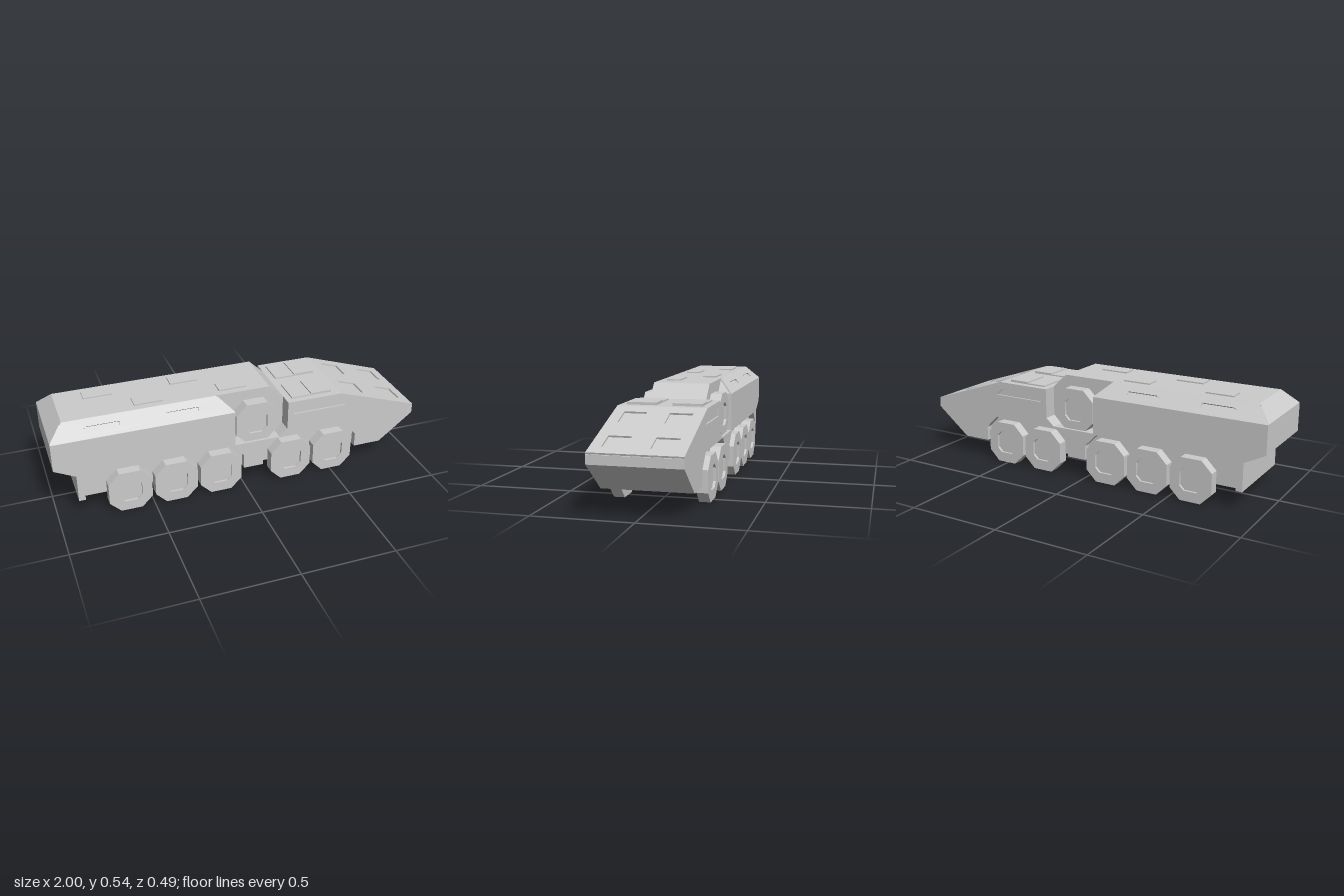
import * as THREE from 'three';
import { ConvexGeometry } from 'three/addons/geometries/ConvexGeometry.js';

const mat = new THREE.MeshStandardMaterial({ color: 0xcccccc, flatShading: true });

// Extrude an outline (with optional holes) from depth z0 to z1.
function slab(outline, z0, z1, holes = []) {
  const toV = (pts) => pts.map(([x, y]) => new THREE.Vector2(x, y));
  const shape = new THREE.Shape(toV(outline));
  holes.forEach((h) => shape.holes.push(new THREE.Path(toV(h))));
  return new THREE.ExtrudeGeometry(shape, { depth: z1 - z0, bevelEnabled: false }).translate(0, 0, z0);
}

// Mirrored copy across z = 0, with the winding reversed.
function mirrorZ(geo) {
  const g = geo.index ? geo.toNonIndexed() : geo.clone();
  g.scale(1, 1, -1);
  const p = g.attributes.position;
  for (let i = 0; i < p.count; i += 3) {
    const a = new THREE.Vector3().fromBufferAttribute(p, i);
    const c = new THREE.Vector3().fromBufferAttribute(p, i + 2);
    p.setXYZ(i, c.x, c.y, c.z);
    p.setXYZ(i + 2, a.x, a.y, a.z);
  }
  g.computeVertexNormals();
  return g;
}

// Square of half size r with its corners cut by c.
function octagon(r, c, cx, cy) {
  const k = r - c;
  return [[k, -r], [r, -k], [r, k], [k, r], [-k, r], [-r, k], [-r, -k], [-k, -r]].map(([x, y]) => [x + cx, y + cy]);
}

const rect = (x0, x1, y0, y1) => [[x0, y0], [x1, y0], [x1, y1], [x0, y1]];

export function createModel() {
  const model = new THREE.Group();
  const add = (name, geo, parent = model) => {
    const m = new THREE.Mesh(geo, mat);
    m.name = name;
    parent.add(m);
  };
  const addPair = (name, geo, parent = model) => {
    add(name + 'Left', geo, parent);
    add(name + 'Right', mirrorZ(geo), parent);
  };

  // Hull: centre core, then side layers cut by the spare wheel pocket and wheel arches
  const nose = [[0.81, 0.1], [1, 0.25], [1, 0.2955], [0.55, 0.4455], [0.55, 0.455], [0.245, 0.455]];
  const pocket = [[0.245, 0.295], [0.2, 0.255], [-0.05, 0.255], [-0.05, 0.455]];
  const tail = [[-1, 0.455], [-1, 0.305], [-0.89, 0.25]];
  const arches = [
    [-0.855, 0.1], [-0.855, 0.185], [-0.79, 0.25], [-0.07, 0.25], [0, 0.18], [0, 0.1],
    [0.11, 0.1], [0.11, 0.18], [0.175, 0.25], [0.585, 0.25], [0.655, 0.18], [0.655, 0.1],
  ];
  const sideVent = [[0.28, 0.38], [0.58, 0.38], [0.54, 0.417], [0.28, 0.417]];
  add('hullCore', slab([[-0.89, 0.1], ...nose, [0.165, 0.53], [-0.925, 0.53], ...tail], -0.15, 0.15));
  addPair('hullInnerSide', slab([[-0.89, 0.1], ...nose, ...pocket, ...tail], 0.15, 0.19));
  addPair('hullOuterSide', slab([[-0.89, 0.1], ...arches, ...nose, ...pocket, ...tail], 0.19, 0.225, [sideVent]));
  addPair('sideVentFloor', slab(sideVent, 0.19, 0.216));

  // Sloped roof sides over the rear compartment
  const corners = [];
  for (const s of [-1, 1]) {
    for (const x of [-1, -0.05]) corners.push(new THREE.Vector3(x, 0.455, s * 0.214));
    for (const x of [-0.925, -0.13]) corners.push(new THREE.Vector3(x, 0.53, s * 0.139));
  }
  add('rearRoof', new ConvexGeometry(corners));

  // Roof side plates with recessed vents
  const h = Math.SQRT1_2;
  const roofPlate = slab(
    [[-1, 0], [-0.05, 0], [-0.13, 0.106], [-0.925, 0.106]], -0.0078, 0,
    [-0.825, -0.415].map((x) => [[x, 0.035], [x + 0.165, 0.035], [x + 0.18, 0.045], [x + 0.18, 0.064], [x + 0.015, 0.064], [x, 0.055]]),
  );
  roofPlate.applyMatrix4(new THREE.Matrix4()
    .makeBasis(new THREE.Vector3(1, 0, 0), new THREE.Vector3(0, h, -h), new THREE.Vector3(0, h, h))
    .setPosition(0, 0.455, 0.225));
  addPair('roofSidePlate', roofPlate);

  // Sloped bow plate with four recesses
  const recesses = [];
  for (const [a, b] of [[0.063, 0.174], [0.31, 0.417]]) {
    recesses.push(rect(a, b, 0.057, 0.17), rect(a, b, -0.17, -0.057));
  }
  const bow = slab(rect(0, 0.474, -0.225, 0.225), -0.009, 0, recesses);
  const c = 3 / Math.sqrt(10), s = 1 / Math.sqrt(10);
  bow.applyMatrix4(new THREE.Matrix4()
    .makeBasis(new THREE.Vector3(c, -s, 0), new THREE.Vector3(0, 0, -1), new THREE.Vector3(s, c, 0))
    .setPosition(0.55, 0.455, 0));
  add('bowPlate', bow);

  // Two-part hatches on the front deck
  addPair('hatchRear', new THREE.BoxGeometry(0.11, 0.012, 0.15).translate(0.335, 0.456, 0.115));
  addPair('hatchFront', new THREE.BoxGeometry(0.115, 0.02, 0.15).translate(0.4475, 0.458, 0.115));

  // Staggered roof covers
  [-0.705, -0.475, -0.245, -0.025].forEach((x, i) => {
    add('roofCover', new THREE.BoxGeometry(0.15, 0.014, 0.075).translate(x, 0.53, i % 2 ? 0.075 : -0.075));
  });

  // Eight-sided wheels with a recessed hub
  const addWheel = (name, x, y, z0, z1) => {
    const wheel = new THREE.Group();
    wheel.name = name;
    model.add(wheel);
    const outer = octagon(0.114, 0.058, x, y);
    addPair('wheelBody', slab(outer, z0, z1 - 0.013), wheel);
    addPair('wheelRim', slab(outer, z1 - 0.013, z1, [octagon(0.06, 0.025, x, y)]), wheel);
  };
  for (const x of [-0.625, -0.38, -0.135, 0.262, 0.508]) addWheel('wheelPair', x, 0.114, 0.188, 0.245);
  addWheel('spareWheelPair', 0.075, 0.36, 0.148, 0.21);

  return model;
}
